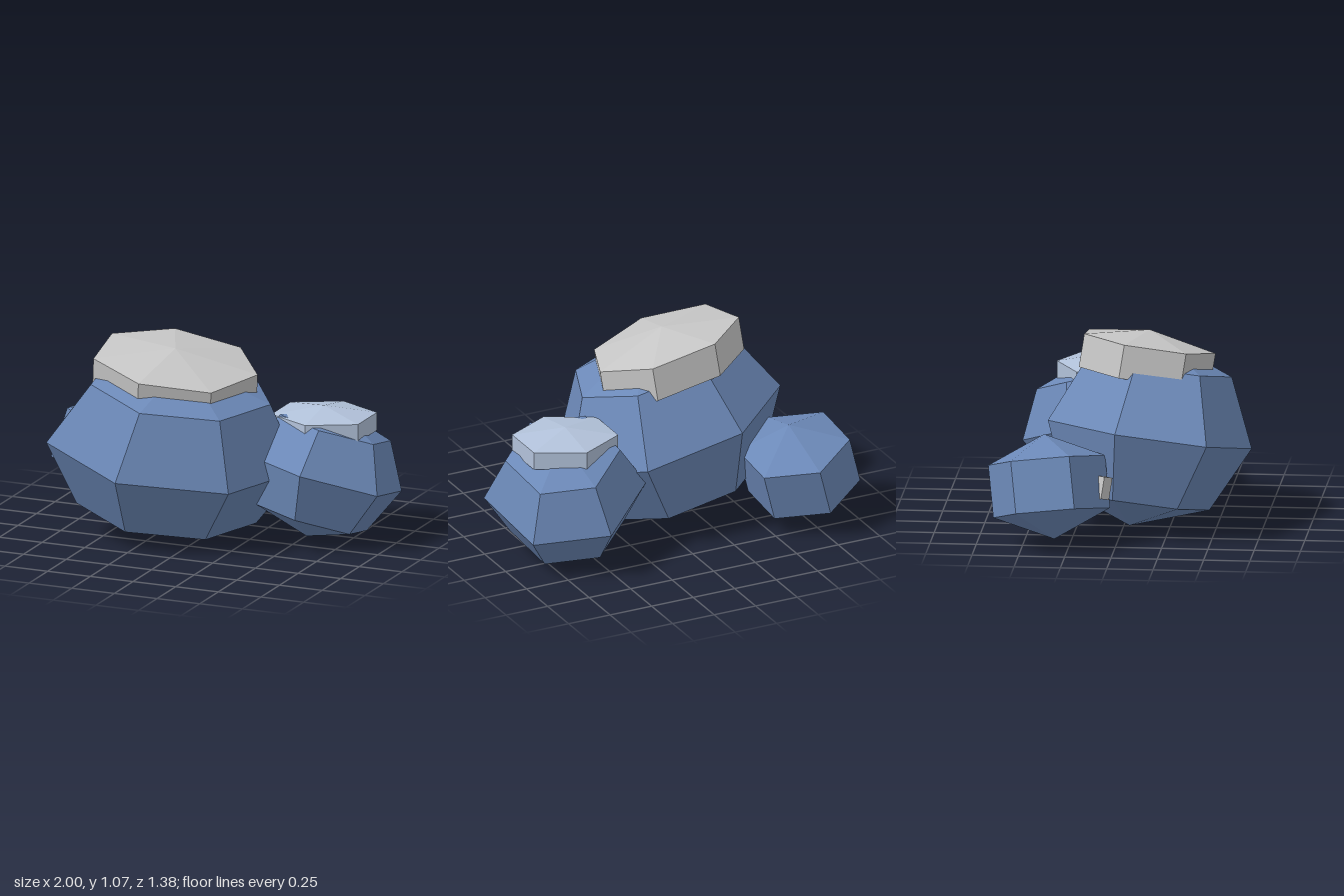
import * as THREE from 'three';

const material = (name, color) => {
  const m = new THREE.MeshStandardMaterial({ color, flatShading: true });
  m.name = name;
  return m;
};

// Joins rings of points, listed from top to bottom; a ring of one point is a tip.
function loft(rings) {
  const position = [];
  const tri = (a, b, c) => position.push(...a.toArray(), ...b.toArray(), ...c.toArray());
  for (let i = 0; i < rings.length - 1; i++) {
    const up = rings[i], low = rings[i + 1];
    const n = Math.max(up.length, low.length);
    for (let k = 0; k < n; k++) {
      const j = (k + 1) % n;
      if (up.length === 1) tri(up[0], low[k], low[j]);
      else if (low.length === 1) tri(up[k], low[0], up[j]);
      else {
        tri(up[k], low[k], low[j]);
        tri(up[k], low[j], up[j]);
      }
    }
  }
  const geometry = new THREE.BufferGeometry();
  geometry.setAttribute('position', new THREE.Float32BufferAttribute(position, 3));
  geometry.computeVertexNormals();
  return geometry;
}

const points = (list) => list.map((p) => new THREE.Vector3(...p));
const centreOf = (ring) =>
  ring.reduce((sum, p) => sum.add(p), new THREE.Vector3()).divideScalar(ring.length);

// A leaning low-poly ball: its equator, the half axis to the top, and the steps from top to bottom.
function rockGeometry(equatorList, axisList, steps) {
  const equator = points(equatorList);
  const axis = new THREE.Vector3(...axisList);
  const centre = centreOf(equator);
  const rings = [];
  for (let i = 0; i <= steps; i++) {
    const angle = (Math.PI * i) / steps;
    const middle = centre.clone().addScaledVector(axis, Math.cos(angle));
    const isTip = i === 0 || i === steps;
    rings.push(isTip ? [middle] : equator.map((p) =>
      p.clone().sub(centre).multiplyScalar(Math.sin(angle)).add(middle)));
  }
  return loft(rings);
}

// A slab with a shallow pointed top: apex, rim, and the drop from rim to underside.
function capGeometry(apex, rimList, drop) {
  const rim = points(rimList);
  const offset = new THREE.Vector3(...drop);
  const base = rim.map((p) => p.clone().add(offset));
  return loft([points([apex]), rim, base, [centreOf(base)]]);
}

export function createModel() {
  const group = new THREE.Group();
  group.name = 'rockCluster';
  const rockBlue = material('rockBlue', 0x6c89b8);
  const capGrey = material('capGrey', 0xc6c6c6);
  const capPaleBlue = material('capPaleBlue', 0xb2c2da);

  const add = (name, geometry, mat) => {
    const mesh = new THREE.Mesh(geometry, mat);
    mesh.name = name;
    group.add(mesh);
    return mesh;
  };

  // Large seven-sided rock
  add('largeRock', rockGeometry([
    [-0.78, 0.63, 0.0], [-0.73, 0.56, 0.49], [-0.24, 0.44, 0.69], [0.32, 0.38, 0.45],
    [0.52, 0.40, -0.06], [0.23, 0.50, -0.42], [-0.35, 0.60, -0.40],
  ], [0.093, 0.5, 0.077], 4), rockBlue);

  // Medium six-sided rock
  add('mediumRock', rockGeometry([
    [0.27, 0.51, 0.11], [0.66, 0.47, 0.27], [1.0, 0.33, 0.01],
    [0.94, 0.23, -0.46], [0.55, 0.27, -0.62], [0.21, 0.41, -0.36],
  ], [0.062, 0.34, -0.085], 4), rockBlue);

  // Small six-sided rock
  add('smallRock', rockGeometry([
    [-1.0, 0.418, -0.193], [-0.71, 0.36, 0.004], [-0.42, 0.262, -0.163],
    [-0.42, 0.222, -0.527], [-0.71, 0.28, -0.724], [-1.0, 0.378, -0.557],
  ], [0.08, 0.27, -0.035], 3), rockBlue);

  // Leaning grey cap on the large rock
  add('largeCap', capGeometry([-0.13, 1.06, 0.13], [
    [-0.545, 1.07, 0.03], [-0.51, 1.02, 0.36], [-0.19, 0.95, 0.49], [0.17, 0.90, 0.34],
    [0.30, 0.93, 0.01], [0.10, 1.0, -0.22], [-0.28, 1.065, -0.21],
  ], [-0.018, -0.18, -0.028]), capGrey);

  // Level pale cap on the medium rock
  const hexagon = [];
  for (let i = 0; i < 6; i++) {
    const a = Math.PI + (Math.PI / 6) * (2 * i + 1);
    hexagon.push([0.607 + 0.293 * Math.cos(a), 0.70, -0.18 - 0.26 * Math.sin(a)]);
  }
  add('mediumCap', capGeometry([0.607, 0.745, -0.18], hexagon, [0, -0.1, 0]), capPaleBlue);

  // Grey chip wedged between the large and small rocks
  const chip = add('wedgedChip', new THREE.BoxGeometry(0.07, 0.12, 0.05), capGrey);
  chip.position.set(-0.755, 0.33, -0.065);
  chip.rotation.set(0, -0.6, -0.25);

  return group;
}
